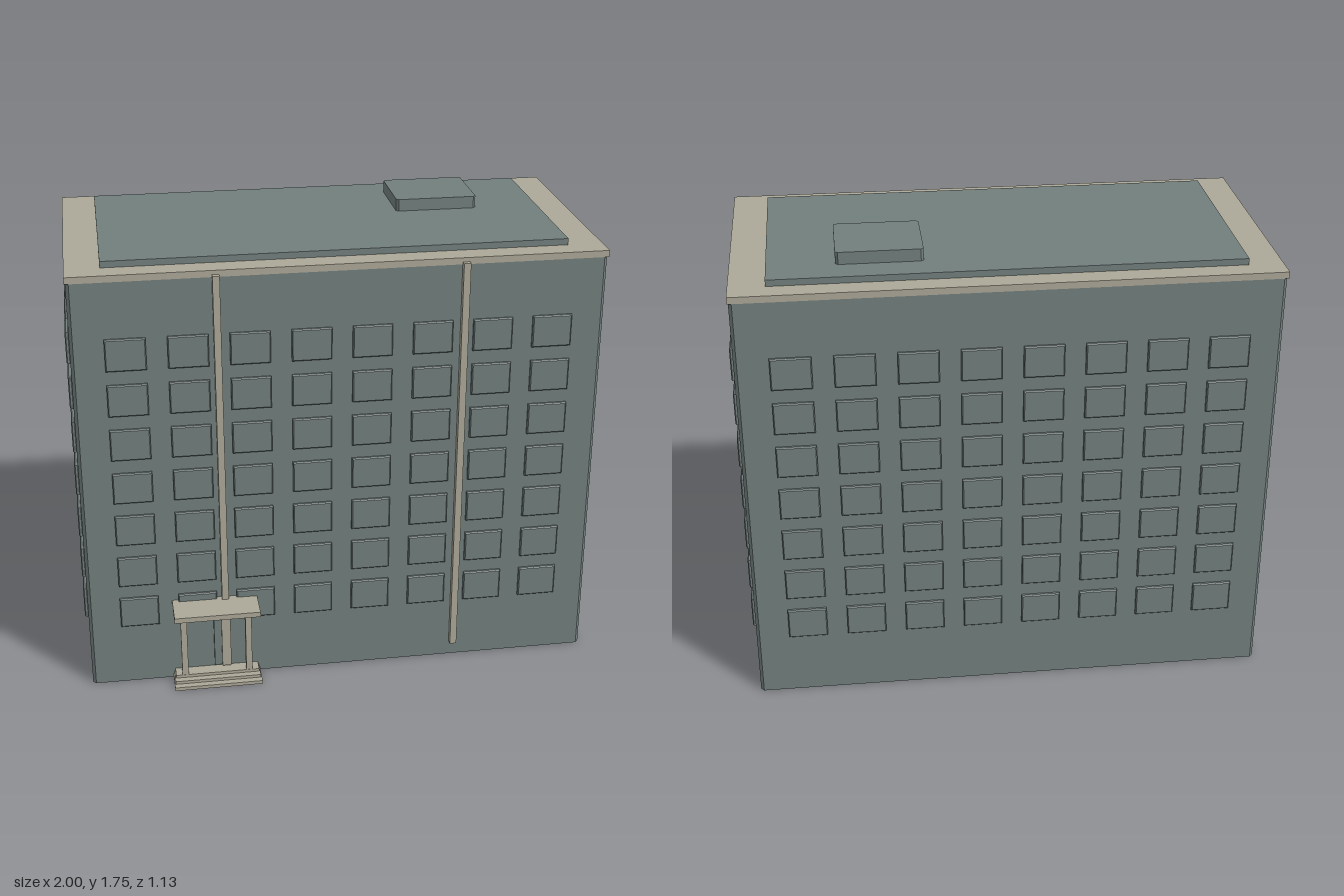
import * as THREE from 'three';

export function createModel() {
  const root = new THREE.Group();
  const material = (name, color) => {
    const m = new THREE.MeshStandardMaterial({ color });
    m.name = name;
    return m;
  };
  const wallGrey = material('wall grey', 0x727f7d);
  const trimStone = material('trim stone', 0xaca898);

  const add = (name, geometry, mat, parent = root) => {
    const mesh = new THREE.Mesh(geometry, mat);
    mesh.name = name;
    parent.add(mesh);
    return mesh;
  };
  // Box given by its lower and upper limits on each axis
  const box = (name, mat, [x0, x1], [y0, y1], [z0, z1], parent = root) => {
    const mesh = add(name, new THREE.BoxGeometry(x1 - x0, y1 - y0, z1 - z0), mat, parent);
    mesh.position.set((x0 + x1) / 2, (y0 + y1) / 2, (z0 + z1) / 2);
    return mesh;
  };
  // Upright block with chamfered vertical corners
  const block = (name, mat, [x0, x1], [y0, y1], [z0, z1], c) => {
    const w = (x1 - x0) / 2, d = (z1 - z0) / 2;
    const outline = [[-w + c, -d], [w - c, -d], [w, -d + c], [w, d - c],
      [w - c, d], [-w + c, d], [-w, d - c], [-w, -d + c]];
    const shape = new THREE.Shape(outline.map(([x, y]) => new THREE.Vector2(x, y)));
    const g = new THREE.ExtrudeGeometry(shape, { depth: y1 - y0, bevelEnabled: false });
    g.rotateX(-Math.PI / 2);
    add(name, g, mat).position.set((x0 + x1) / 2, y0, (z0 + z1) / 2);
  };

  // Main volume and roof
  const back = -0.553, front = 0.428, side = 0.984;
  block('walls', wallGrey, [-side, side], [0, 1.656], [back, front], 0.012);
  box('roofSlab', trimStone, [-0.988, 0.988], [1.656, 1.681], [-0.557, 0.432]);
  box('roofDeck', wallGrey, [-0.86, 0.856], [1.681, 1.705], [-0.476, 0.345]);
  block('roofHatch', wallGrey, [0.295, 0.61], [1.705, 1.751], [-0.365, -0.087], 0.01);

  // Windows: raised panels with bevelled outer edges
  const W = 0.148, H = 0.123, B = 0.004;
  const pane = new THREE.Shape([[-1, -1], [1, -1], [1, 1], [-1, 1]].map(
    ([x, y]) => new THREE.Vector2(x * (W / 2 - B), y * (H / 2 - B))));
  const windowGeometry = new THREE.ExtrudeGeometry(pane,
    { depth: 0.008, bevelThickness: B, bevelSize: B, bevelSegments: 1 });
  const windows = new THREE.Group();
  windows.name = 'windows';
  root.add(windows);
  const addWindow = (x, y, z, turn) => {
    const mesh = add('window', windowGeometry, wallGrey, windows);
    mesh.position.set(x, y, z);
    mesh.rotation.y = turn;
  };
  for (let row = 0; row < 7; row++) {
    const y = 0.316 + row * 0.1775;
    for (let i = 0; i < 8; i++) {
      const x = -0.788 + i * 0.2247;
      addWindow(x, y, front + 0.003, 0);
      addWindow(x, y, back - 0.003, Math.PI);
    }
    for (let i = 0; i < 4; i++) {
      const z = 0.267 - i * 0.2217;
      addWindow(side + 0.003, y, z, Math.PI / 2);
      addWindow(-side - 0.003, y, z, -Math.PI / 2);
    }
  }

  // Vertical strips on the front
  for (const x of [-0.457, 0.452]) {
    box('facadeStrip', trimStone, [x - 0.013, x + 0.013], [0.06, 1.665], [0.42, 0.452]);
  }

  // Entrance with steps, posts and canopy
  const entrance = new THREE.Group();
  entrance.name = 'entrance';
  root.add(entrance);
  const steps = [[0.171, 0, 0.014, 0.53], [0.167, 0.014, 0.026, 0.505], [0.163, 0.026, 0.038, 0.48]];
  for (const [half, y0, y1, z] of steps) {
    box('step', trimStone, [-0.498 - half, -0.498 + half], [y0, y1], [0.42, z], entrance);
  }
  for (const x of [-0.624, -0.373]) {
    box('post', trimStone, [x - 0.012, x + 0.012], [0.038, 0.327], [0.453, 0.479], entrance);
  }
  box('doorLeaf', wallGrey, [-0.505, -0.476], [0.05, 0.327], [0.42, 0.445], entrance);
  box('doorFrame', trimStone, [-0.476, -0.441], [0.05, 0.327], [0.42, 0.455], entrance);
  box('canopy', trimStone, [-0.662, -0.334], [0.327, 0.348], [0.42, 0.566], entrance);

  return root;
}
